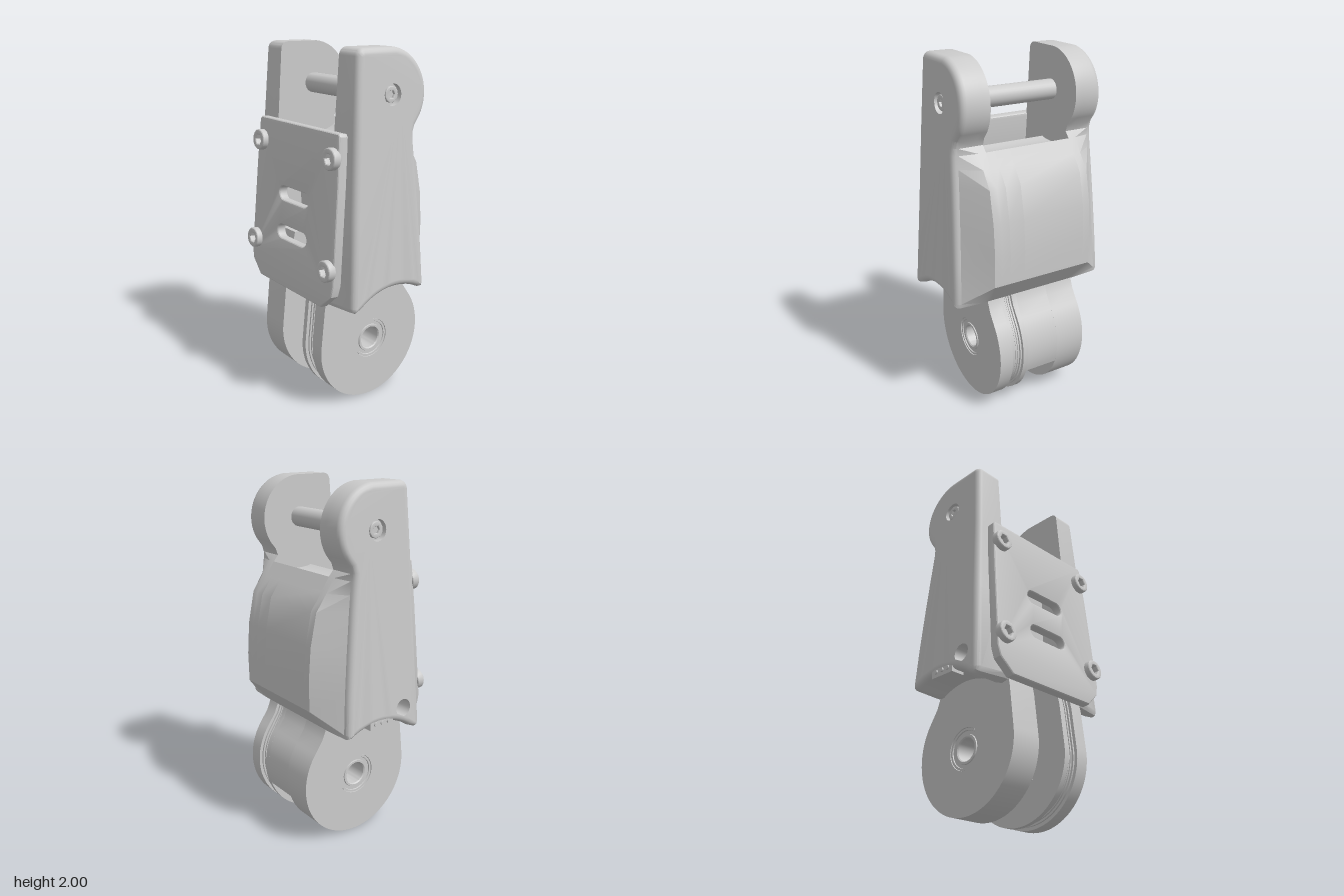
import * as THREE from 'three';
import { toCreasedNormals } from 'three/addons/utils/BufferGeometryUtils.js';

const mat = new THREE.MeshStandardMaterial({ color: 0xcccccc });
const V = (x, y) => new THREE.Vector2(x, y);

function add(parent, name, geo, crease = 0.5) {
  const flat = geo.index ? geo.toNonIndexed() : geo;
  const m = new THREE.Mesh(toCreasedNormals(flat, crease), mat);
  m.name = name;
  parent.add(m);
  return m;
}

// points on an arc, angles in degrees
function arc(cx, cy, r, a0, a1, n) {
  return Array.from({ length: n + 1 }, (_, i) => {
    const a = THREE.MathUtils.degToRad(a0 + ((a1 - a0) * i) / n);
    return V(cx + r * Math.cos(a), cy + r * Math.sin(a));
  });
}
const circle = (cx, cy, r, n = 28) => arc(cx, cy, r, 0, 360, n).slice(0, -1);

// prism along z, with optional holes and bevel
function prism(pts, z0, z1, holes = [], bevel = 0) {
  const s = new THREE.Shape(pts);
  holes.forEach(h => s.holes.push(new THREE.Path(h)));
  const g = new THREE.ExtrudeGeometry(s, {
    depth: z1 - z0 - 2 * bevel, bevelEnabled: bevel > 0, bevelSize: bevel,
    bevelThickness: bevel, bevelOffset: -bevel, bevelSegments: 3,
  });
  return g.translate(0, 0, z0 + bevel);
}

const KNUCKLE = [0.02, 0.355], PIVOT = [0.02, 1.765];
const underside = arc(...KNUCKLE, 0.38, 126, 61, 14);

// bulged front edge: [x at the middle, y, x at the side, y]
const bulge = [
  [0.36, 0.83, 0.238, 0.715], [0.363, 1.0, 0.226, 0.93], [0.35, 1.18, 0.208, 1.15],
  [0.313, 1.36, 0.188, 1.36], [0.25, 1.45, 0.178, 1.45], [0.2, 1.525, 0.171, 1.52],
];

// side outline, as pairs: inner edge and outer flank
function sideOutline() {
  const same = p => [p.x, p.y, p.x, p.y];
  return [
    [-0.302, 0.68, -0.275, 0.68], [-0.29, 0.655, -0.265, 0.655], [-0.25, 0.645, -0.245, 0.645],
    ...underside.map(same),
    [0.235, 0.685, 0.23, 0.688],
    ...bulge,
    ...[V(0.171, 1.558), V(0.184, 1.595)].map(same),
    ...arc(...PIVOT, 0.235, -33, 84, 18).map(same),
    ...arc(-0.152, 1.957, 0.043, 90, 175, 6).map(same),
    [-0.223, 1.6, -0.219, 1.6], [-0.262, 1.15, -0.245, 1.15],
  ];
}

// move a closed outline inwards
function inset(pts, d) {
  const n = pts.length;
  return pts.map((p, i) => {
    const t = pts[(i + 1) % n].clone().sub(pts[(i + n - 1) % n]).normalize();
    return V(p.x - t.y * d, p.y + t.x * d);
  });
}

// flank of the shell: rings stepped outwards along z, with round pockets in the outer face
function flank(sign, pockets) {
  const pos = [];
  const tri = (...p) => (sign > 0 ? p : p.reverse()).forEach(q => pos.push(q[0], q[1], q[2] * sign));
  const wall = (a, b) => a.forEach((_, i) => {
    const j = (i + 1) % a.length;
    tri(a[i], a[j], b[j]);
    tri(a[i], b[j], b[i]);
  });
  const lift = (pts, f) => pts.map(p => [p.x, p.y, f(p.y)]);
  const outerZ = y => 0.481 - (y - 0.66) * 0.049;
  const pairs = sideOutline();
  const inner = pairs.map(p => V(p[0], p[1])), outer = pairs.map(p => V(p[2], p[3]));
  const face = inset(outer, 0.038);
  const rings = [lift(inner, () => 0.26), lift(inner, () => 0.305)];
  // rounded edge in four steps, then a flat margin that keeps the face plane
  for (let k = 0; k <= 4; k++) {
    const a = (k * Math.PI) / 8, r = 0.034;
    rings.push(lift(inset(outer, r * (1 - Math.cos(a))), y => outerZ(y) - r * (1 - Math.sin(a))));
  }
  rings.push(lift(face, outerZ));
  for (let k = 0; k < rings.length - 1; k++) wall(rings[k], rings[k + 1]);
  THREE.ShapeUtils.triangulateShape(inner, []).forEach(([a, b, c]) =>
    tri(rings[0][c], rings[0][b], rings[0][a]));
  const holes = pockets.map(([x, y, r]) => circle(x, y, r, 24).reverse());
  const all = [...rings.at(-1), ...holes.flatMap(h => lift(h, outerZ))];
  THREE.ShapeUtils.triangulateShape(face, holes).forEach(([a, b, c]) => tri(all[a], all[b], all[c]));
  holes.forEach((h, k) => {
    const [x, y, , depth] = pockets[k];
    const floor = lift(h, v => outerZ(v) - depth);
    wall(floor, lift(h, outerZ));
    floor.forEach((p, i) => tri(floor[(i + 1) % floor.length], p, [x, y, outerZ(y) - depth]));
  });
  const g = new THREE.BufferGeometry();
  g.setAttribute('position', new THREE.Float32BufferAttribute(pos, 3));
  return g;
}

// round screw head with a hexagonal socket, facing +z
function screw(parent, name, r, h) {
  const g = new THREE.Group();
  g.name = name;
  add(g, 'head', prism(circle(0, 0, r), 0, h, [circle(0, 0, r * 0.5, 6).reverse()], h * 0.2));
  add(g, 'socketFloor', new THREE.CircleGeometry(r * 0.6, 6).translate(0, 0, h * 0.3));
  parent.add(g);
  return g;
}

export function createModel() {
  const root = new THREE.Group();
  root.name = 'jointedLink';

  // shell: two flanks with hinge ears, and the bulged front between them
  const pin = [...PIVOT, 0.056, 0.03];
  add(root, 'leftFlank', flank(1, [pin]), 0.45);
  add(root, 'rightFlank', flank(-1, [pin, [-0.15, 0.785, 0.05, 0.14]]), 0.45);
  const front = saddle => [
    V(-0.06, 0.726), ...underside.filter(p => p.x > -0.05), V(0.235, 0.685),
    ...bulge.map(b => V(b[0], b[1])), ...saddle,
  ];
  const solid = front(arc(...PIVOT, 0.295, -58, -105, 10));
  // the slice with the cable duct
  const duct = front([V(0.18, 1.515), V(0.18, 0.8), V(0.08, 0.8),
    ...arc(...PIVOT, 0.295, -78, -105, 6)]);
  for (const [pts, z0, z1] of [[solid, -0.262, 0.12], [duct, 0.12, 0.21], [solid, 0.21, 0.262]])
    add(root, 'frontShell', prism(pts, z0, z1), 0.45);

  // hinge pin with socket ends
  add(root, 'hingePin', new THREE.CylinderGeometry(0.056, 0.056, 0.7, 28)
    .rotateX(Math.PI / 2).translate(...PIVOT, 0));
  for (const s of [1, -1]) {
    const end = screw(root, 'pinEnd', 0.042, 0.02);
    end.position.set(...PIVOT, s * 0.398);
    if (s < 0) end.rotation.y = Math.PI;
  }

  // knuckle: two cheeks, one with a round cable groove, and a bridge between them
  const cheek = d => [
    V(0.18 - d, 0.95), V(-0.235 + d, 0.95), V(-0.305 + d, 0.62),
    ...arc(...KNUCKLE, 0.352 - d, 173, 396, 60), V(0.258 - d, 0.63), V(0.238 - d, 0.68),
  ];
  const bore = r => [circle(...KNUCKLE, r, 36).reverse()];
  const knuckle = new THREE.Group();
  knuckle.name = 'knuckle';
  root.add(knuckle);
  for (const [z0, z1] of [[-0.28, -0.1], [0.1, 0.13], [0.2, 0.28]])
    add(knuckle, 'cheek', prism(cheek(0), z0, z1, bore(0.116)));
  const steps = 7;
  for (let i = 0; i < steps; i++) {
    const t = ((i + 0.5) / steps) * 2 - 1, z = 0.13 + (0.07 * i) / steps;
    add(knuckle, 'cableGroove',
      prism(cheek(0.036 * Math.sqrt(1 - t * t)), z, z + 0.07 / steps, bore(0.116)));
  }
  add(knuckle, 'bridge', prism([
    V(-0.1, 0.24), ...arc(...KNUCKLE, 0.352, -19, 36, 12), V(0.258, 0.63), V(0.238, 0.68),
    V(0.18, 0.95), V(-0.1, 0.95),
  ], -0.1, 0.1, bore(0.062)));
  // bearings
  const ringProfile = [[0.062, -0.088], [0.114, -0.088], [0.114, 0.086], [0.102, 0.086],
    [0.1, 0.08], [0.082, 0.08], [0.08, 0.086], [0.068, 0.086], [0.062, 0.08], [0.062, -0.088]];
  for (const s of [1, -1])
    add(knuckle, 'bearing', new THREE.LatheGeometry(ringProfile.map(p => V(...p)), 36)
      .rotateX(s * Math.PI / 2).translate(...KNUCKLE, s * 0.19));

  // back cover: tilted plate with two slots and four screws
  const cover = new THREE.Group();
  cover.name = 'backCover';
  cover.position.set(-0.257, 1.12, 0);
  cover.rotation.set(0, -Math.PI / 2, -0.085, 'ZYX');
  root.add(cover);
  const slot = y => [...arc(0.1, y, 0.038, 90, -90, 8), ...arc(-0.1, y, 0.038, -90, -270, 8)];
  const half = [[0.3, -0.47], [0.385, -0.39], [0.4, -0.33], [0.385, 0.2], [0.372, 0.45], [0.36, 0.465]];
  const outline = [...half.map(p => V(...p)), ...half.map(([x, y]) => V(-x, y)).reverse()];
  add(cover, 'plate', prism(outline, 0, 0.058, [slot(0.07), slot(-0.15)], 0.012));
  for (const s of [1, -1]) for (const [x, y] of [[0.33, 0.335], [0.35, -0.25]])
    screw(cover, 'coverScrew', 0.058, 0.048).position.set(s * x, y, 0.045);

  // circuit board and small parts in the cavity
  const inside = new THREE.Group();
  inside.name = 'electronics';
  root.add(inside);
  const box = (name, w, h, d, x, y, z) =>
    add(inside, name, new THREE.BoxGeometry(w, h, d).translate(x, y, z));
  box('board', 0.03, 0.46, 0.35, -0.07, 1.22, -0.075);
  box('chip', 0.03, 0.14, 0.15, -0.095, 1.25, 0.01);
  for (let i = 0; i < 3; i++) box('component', 0.02, 0.06, 0.03, -0.09, 1.1 + i * 0.12, -0.15 - i * 0.03);
  add(inside, 'post', new THREE.CylinderGeometry(0.045, 0.045, 0.15, 24)
    .rotateX(Math.PI / 2).translate(-0.145, 1.38, -0.18));

  // connector on the lower edge of the right flank
  const plug = new THREE.Group();
  plug.name = 'connector';
  plug.position.set(0, 0.735, -0.432);
  root.add(plug);
  add(plug, 'housing', new THREE.BoxGeometry(0.16, 0.06, 0.08));
  for (let i = -1; i <= 1; i++)
    add(plug, 'contact', new THREE.CylinderGeometry(0.012, 0.012, 0.02, 10)
      .rotateX(Math.PI / 2).translate(i * 0.045, 0, -0.039));

  return root;
}
